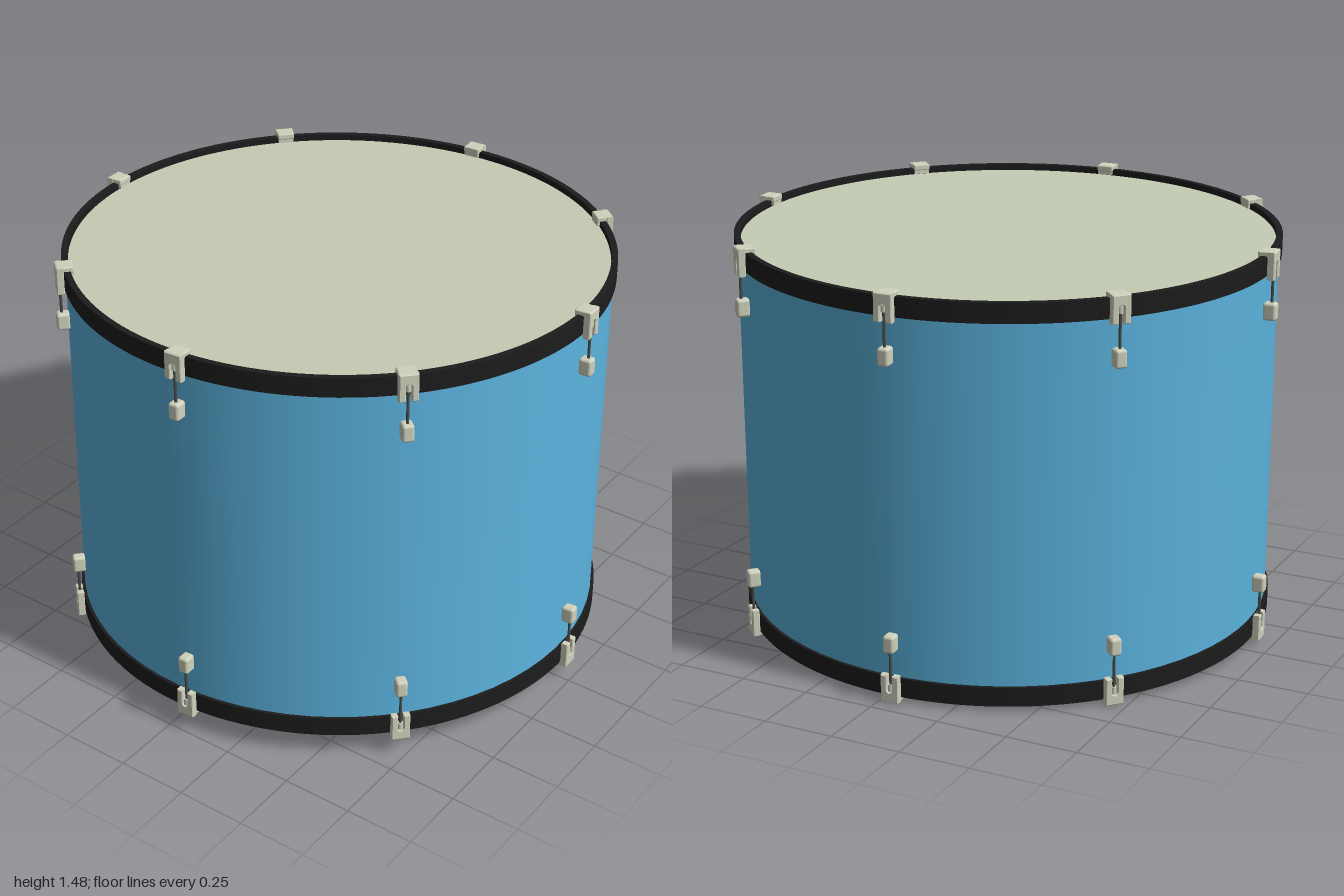
import * as THREE from 'three';
import { RoundedBoxGeometry } from 'three/addons/geometries/RoundedBoxGeometry.js';

const HALF = 0.69; // half the drum height, rim to rim
const SEG = 72;

function part(name, geometry, material, x = 0, y = 0, z = 0) {
  const mesh = new THREE.Mesh(geometry, material);
  mesh.name = name;
  mesh.position.set(x, y, z);
  return mesh;
}

// Claw plate with an arched notch open towards the lug
function clawPlateGeometry() {
  const s = new THREE.Shape();
  s.moveTo(-0.029, 0.045);
  s.lineTo(-0.029, -0.045);
  s.lineTo(-0.013, -0.045);
  s.lineTo(-0.013, 0.003);
  s.absarc(0, 0.003, 0.013, Math.PI, 0, true);
  s.lineTo(0.013, -0.045);
  s.lineTo(0.029, -0.045);
  s.lineTo(0.029, 0.045);
  s.closePath();
  return new THREE.ExtrudeGeometry(s, {
    depth: 0.02, curveSegments: 6,
    bevelEnabled: true, bevelThickness: 0.003, bevelSize: 0.003, bevelSegments: 1,
  });
}

export function createModel() {
  const blue = new THREE.MeshStandardMaterial({ color: 0x5bb3de });
  const black = new THREE.MeshStandardMaterial({ color: 0x1c1c1c });
  const skin = new THREE.MeshStandardMaterial({ color: 0xc5ccb4 });
  const metal = new THREE.MeshStandardMaterial({ color: 0xd0d2bd });
  const steel = new THREE.MeshStandardMaterial({ color: 0x4a4d4a });

  const drum = new THREE.Group();
  drum.name = 'drum';
  drum.add(part('shell', new THREE.CylinderGeometry(0.937, 0.937, 2 * HALF - 0.06, SEG, 1, true), blue));

  // Hoop: a ring with a square section, lying on its own plane
  const ring = new THREE.Shape().absarc(0, 0, 0.948, 0, Math.PI * 2);
  ring.holes.push(new THREE.Path().absarc(0, 0, 0.926, 0, Math.PI * 2, true));
  const hoopGeo = new THREE.ExtrudeGeometry(ring, { depth: 0.068, bevelEnabled: false, curveSegments: SEG });
  hoopGeo.rotateX(-Math.PI / 2);

  const headGeo = new THREE.CylinderGeometry(0.93, 0.93, 0.012, SEG);
  const plateGeo = clawPlateGeometry();
  const hookGeo = new RoundedBoxGeometry(0.062, 0.022, 0.058, 2, 0.005);
  const lipGeo = new THREE.BoxGeometry(0.056, 0.022, 0.01);
  const rodGeo = new THREE.CylinderGeometry(0.005, 0.005, 0.17, 8);
  const boltGeo = new THREE.CylinderGeometry(0.01, 0.01, 0.025, 8);
  const lugGeo = new RoundedBoxGeometry(0.04, 0.062, 0.046, 3, 0.01);

  // One end of the drum, built for the top and turned over for the bottom
  function drumEnd(name, flip) {
    const end = new THREE.Group();
    end.name = name;
    end.add(part('hoop', hoopGeo, black, 0, HALF - 0.068, 0));
    end.add(part('drumHead', headGeo, skin, 0, HALF - 0.028, 0));
    for (let i = 0; i < 8; i++) {
      const tension = new THREE.Group();
      tension.name = 'tensionUnit';
      tension.add(
        part('clawPlate', plateGeo, metal, 0, HALF - 0.034, 0.951),
        part('clawHook', hookGeo, metal, 0, HALF + 0.004, 0.943),
        part('clawLip', lipGeo, metal, 0, HALF - 0.008, 0.921),
        part('rodBolt', boltGeo, metal, 0, HALF - 0.036, 0.961),
        part('tensionRod', rodGeo, steel, 0, HALF - 0.11, 0.961),
        part('lug', lugGeo, metal, 0, HALF - 0.195, 0.957),
      );
      tension.rotation.y = (i * Math.PI) / 4 + (flip ? -0.055 : 0.055);
      end.add(tension);
    }
    if (flip) end.rotation.z = Math.PI;
    return end;
  }
  drum.add(drumEnd('topEnd', false), drumEnd('bottomEnd', true));

  // The whole drum leans slightly
  drum.rotation.set(-0.034, 0, 0.018);

  const model = new THREE.Group();
  model.name = 'bassDrum';
  model.add(drum);
  model.updateMatrixWorld(true);
  drum.position.y = -new THREE.Box3().setFromObject(model, true).min.y;
  return model;
}
